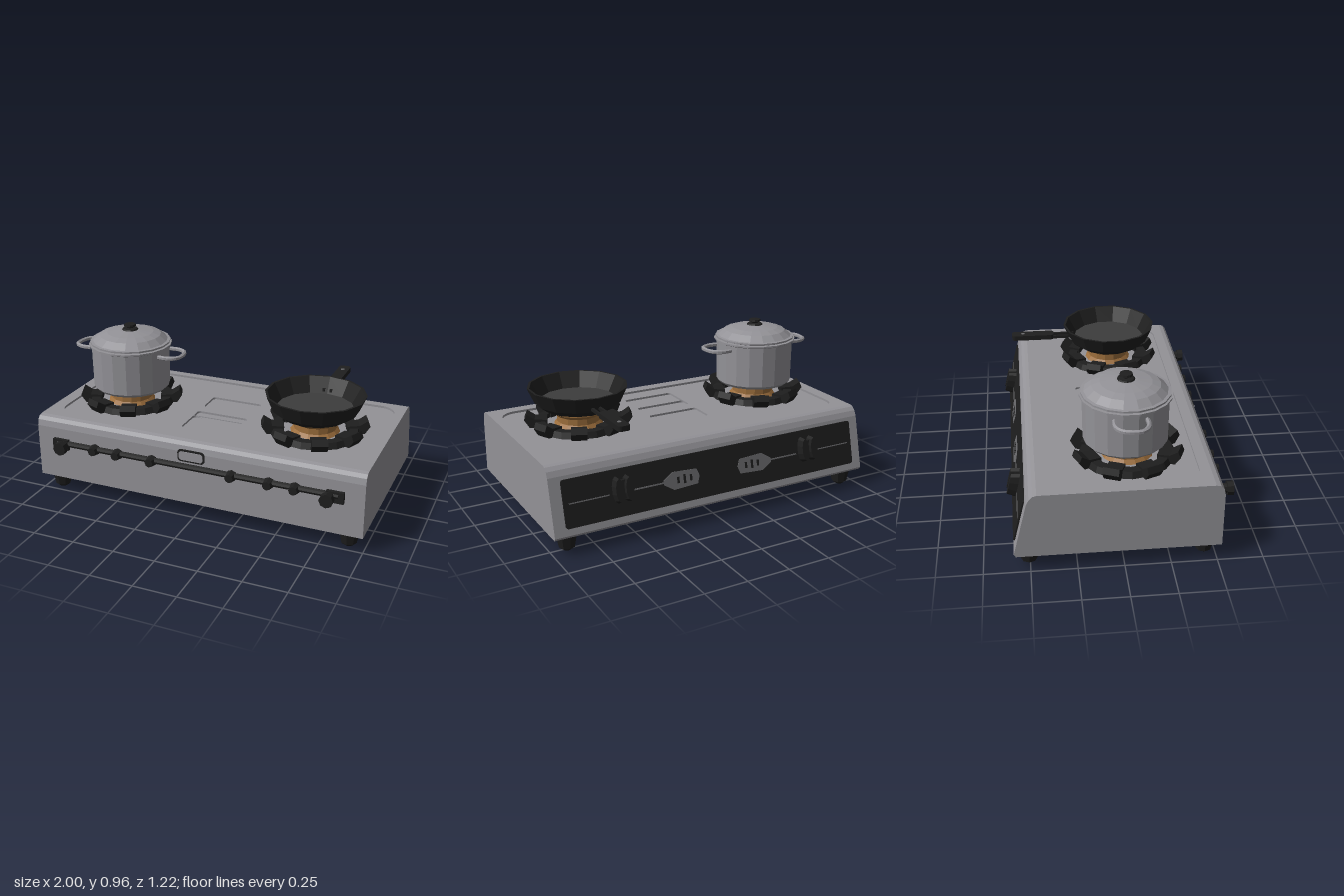
import * as THREE from 'three';

const mat = (name, color) => {
  const m = new THREE.MeshStandardMaterial({ color, flatShading: true });
  m.name = name;
  return m;
};

export function createModel() {
  const steel = mat('steel', 0x939297);
  const black = mat('black', 0x1e1e1e);
  const brass = mat('brass', 0x9c6e3c);
  const panFloor = mat('panFloor', 0x3d3d3d);
  const darkSteel = mat('darkSteel', 0x6a6a6c);

  const model = new THREE.Group();
  model.name = 'twoBurnerStove';

  const add = (parent, name, geo, m, x = 0, y = 0, z = 0) => {
    const mesh = new THREE.Mesh(geo, m);
    mesh.name = name;
    mesh.position.set(x, y, z);
    parent.add(mesh);
    return mesh;
  };
  const group = (name, x, y, z) => {
    const g = new THREE.Group();
    g.name = name;
    g.position.set(x, y, z);
    model.add(g);
    return g;
  };
  const box = (w, h, d) => new THREE.BoxGeometry(w, h, d);
  const lathe = (pts, seg) => new THREE.LatheGeometry(pts.map(p => new THREE.Vector2(...p)), seg);
  const poly = pts => new THREE.Shape(pts.map(p => new THREE.Vector2(...p)));
  const extrude = (shape, depth) =>
    new THREE.ExtrudeGeometry(shape, { depth, bevelEnabled: false, curveSegments: 5 });
  // Rounded rectangle centred on (x, y)
  const roundRect = (x, y, w, h, r) => {
    const s = new THREE.Shape(), a = w / 2 - r, b = h / 2 - r;
    s.absarc(x + a, y + b, r, 0, Math.PI / 2);
    s.absarc(x - a, y + b, r, Math.PI / 2, Math.PI);
    s.absarc(x - a, y - b, r, Math.PI, Math.PI * 1.5);
    s.absarc(x + a, y - b, r, Math.PI * 1.5, Math.PI * 2);
    s.closePath();
    return s;
  };
  // Horizontal slab of the top, pierced by rounded holes
  const slab = (name, y, h, holes) => {
    const s = poly([[-1, -0.47], [1, -0.47], [1, 0.455], [-1, 0.455]]);
    s.holes = holes;
    add(model, name, extrude(s, h).rotateX(-Math.PI / 2), steel, 0, y, 0);
  };

  // Housing: side profile swept across the width
  const side = poly([[0.52, 0.1], [0.52, 0.42], [0.512, 0.455], [0.495, 0.474], [0.47, 0.48], [0.47, 0.455],
    [-0.455, 0.455], [-0.455, 0.48], [-0.475, 0.474], [-0.495, 0.455], [-0.51, 0.425], [-0.585, 0.115], [-0.575, 0.1]]);
  add(model, 'housing', extrude(side, 2).translate(0, 0, -1).rotateY(-Math.PI / 2), steel);
  add(model, 'basePlate', box(1.97, 0.008, 1.07), black, 0, 0.098, -0.028);

  // Sunken tray with three shallow wells in the middle
  slab('trayFloor', 0.455, 0.012, [
    roundRect(0, 0.095, 0.32, 0.16, 0.02),
    roundRect(0, -0.1, 0.32, 0.08, 0.02),
    roundRect(0, -0.22, 0.32, 0.18, 0.02)]);
  slab('trayRim', 0.467, 0.013, [roundRect(0.01, 0, 1.87, 0.82, 0.1)]);

  // Feet
  for (const x of [-0.905, 0.905]) for (const z of [0.44, -0.505]) {
    add(model, 'foot', lathe([[0, 0], [0.025, 0.004], [0.045, 0.02], [0.06, 0.1], [0, 0.1]], 8), black, x, 0, z);
  }

  // Front gas pipe with valves and a name-free badge plate
  const pipe = group('gasPipe', 0, 0.335, 0.53);
  add(pipe, 'pipe', new THREE.CylinderGeometry(0.018, 0.018, 1.72, 8).rotateZ(Math.PI / 2), black);
  for (const s of [-1, 1]) {
    for (const x of [0.245, 0.465, 0.615]) {
      add(pipe, 'valve', new THREE.CylinderGeometry(0.025, 0.034, 0.05, 8).rotateX(Math.PI / 2), black, s * x, -0.005, 0.012);
    }
    add(pipe, 'pipeEnd', box(0.1, 0.065, 0.025), black, s * 0.84, -0.008, 0);
    add(pipe, 'pipeStub', new THREE.CylinderGeometry(0.028, 0.028, 0.06, 8).rotateX(Math.PI / 2), black, s * 0.81, -0.005, 0.02);
    add(pipe, 'pipeCap', new THREE.CylinderGeometry(0.04, 0.04, 0.035, 8).rotateX(Math.PI / 2), black, s * 0.81, -0.005, 0.058);
  }
  add(model, 'badgeEdge', extrude(roundRect(0, 0, 0.165, 0.072, 0.022), 0.009), black, 0, 0.398, 0.516);
  add(model, 'badge', extrude(roundRect(0, 0, 0.145, 0.052, 0.016), 0.012), steel, 0, 0.398, 0.517);

  // Sloping control panel
  const panel = group('controlPanel', 0, 0.28, -0.547);
  panel.rotation.set(-0.237, Math.PI, 0, 'YXZ');
  add(panel, 'panelPlate', extrude(roundRect(0, 0, 1.87, 0.26, 0.015), 0.009), black);
  for (const s of [-1, 1]) {
    add(panel, 'outerLine', box(0.23, 0.006, 0.004), darkSteel, s * 0.79, 0, 0.01);
    add(panel, 'innerLine', box(0.2, 0.008, 0.004), darkSteel, s * 0.43, 0, 0.01);
    const blade = poly([[0.35, -0.012], [0.35, 0.012], [0.29, 0.05], [0.14, 0.042], [0.125, 0], [0.14, -0.042], [0.29, -0.05]]
      .map(([x, y]) => [s * x, y]));
    add(panel, 'bladeMark', extrude(blade, 0.004), darkSteel, 0, 0, 0.008);
    for (const [i, x] of [0.18, 0.22, 0.26].entries()) {
      add(panel, 'bladeSlot', box(0.014, i === 1 ? 0.05 : 0.035, 0.004), black, s * x, 0, 0.012);
    }
    // Knob in two halves with a groove between
    for (const d of [-0.03, 0.03]) {
      const half = add(panel, 'knobHalf', new THREE.CylinderGeometry(0.065, 0.075, 0.055, 10).rotateX(Math.PI / 2), black, s * 0.6 + d, 0.02, 0.03);
      half.scale.x = 0.36;
    }
    add(panel, 'knobCore', box(0.05, 0.1, 0.03), black, s * 0.6, 0.02, 0.02);
  }

  // Burners: drip plate, brass head, support ring and eight prongs
  const prongShape = poly([[0.18, 0], [0.28, 0], [0.31, 0.045], [0.295, 0.08], [0.25, 0.05], [0.18, 0.045]]);
  for (const [x, z] of [[-0.615, 0.05], [0.575, 0.065]]) {
    const b = group('burner', x, 0.467, z);
    add(b, 'dripPlate', new THREE.CylinderGeometry(0.2, 0.2, 0.008, 20), steel, 0, 0.004, 0);
    add(b, 'brassHead', lathe([[0.15, 0], [0.125, 0.03], [0.125, 0.065], [0.16, 0.09], [0.16, 0.1], [0, 0.105]], 14), brass);
    add(b, 'supportRing', lathe([[0.2, 0], [0.265, 0], [0.25, 0.035], [0.2, 0.035], [0.2, 0]], 16), black);
    for (let i = 0; i < 8; i++) {
      const prong = add(b, 'prong', extrude(prongShape, 0.09).translate(0, 0, -0.045), black);
      prong.rotation.y = (i + 0.5) * Math.PI / 4;
    }
  }

  // Cooking pot with lid
  const pot = group('pot', -0.615, 0, 0.042);
  add(pot, 'potBody', lathe([[0, 0.562], [0.215, 0.562], [0.232, 0.58], [0.235, 0.825], [0.25, 0.832], [0.25, 0.842], [0, 0.842]], 18), steel);
  add(pot, 'lid', lathe([[0.225, 0.842], [0.242, 0.848], [0.242, 0.858], [0.225, 0.86], [0.185, 0.893], [0.14, 0.908], [0.06, 0.92], [0, 0.922]], 18), steel);
  add(pot, 'lidKnob', lathe([[0.05, 0.918], [0.045, 0.928], [0.02, 0.932], [0.025, 0.938], [0.036, 0.942], [0.034, 0.954], [0, 0.956]], 12), black);
  for (const s of [-1, 1]) {
    const path = new THREE.CatmullRomCurve3([[0.225, -0.085], [0.29, -0.085], [0.335, -0.05], [0.34, 0.05], [0.29, 0.085], [0.225, 0.085]]
      .map(([x, z]) => new THREE.Vector3(s * x, 0.8, z)));
    add(pot, 'potHandle', new THREE.TubeGeometry(path, 16, 0.013, 6, false), steel);
  }

  // Frying pan
  const pan = group('fryingPan', 0.573, 0, 0.07);
  add(pan, 'panBody', lathe([[0, 0.572], [0.2, 0.575], [0.25, 0.612], [0.29, 0.702], [0.276, 0.702], [0.225, 0.612], [0, 0.605]], 14), black);
  add(pan, 'panFloor', new THREE.CylinderGeometry(0.224, 0.224, 0.006, 14), panFloor, 0, 0.611, 0);
  for (const x of [-0.022, 0.022]) add(pan, 'handleRod', box(0.014, 0.018, 0.15), black, x, 0.633, -0.3);
  add(pan, 'panHandle', extrude(roundRect(0, 0.487, 0.07, 0.266, 0.02), 0.03).rotateX(-Math.PI / 2), black, 0, 0.621, 0);
  add(pan, 'hangingEye', new THREE.CylinderGeometry(0.012, 0.012, 0.004, 10), darkSteel, 0, 0.652, -0.55);

  return model;
}
